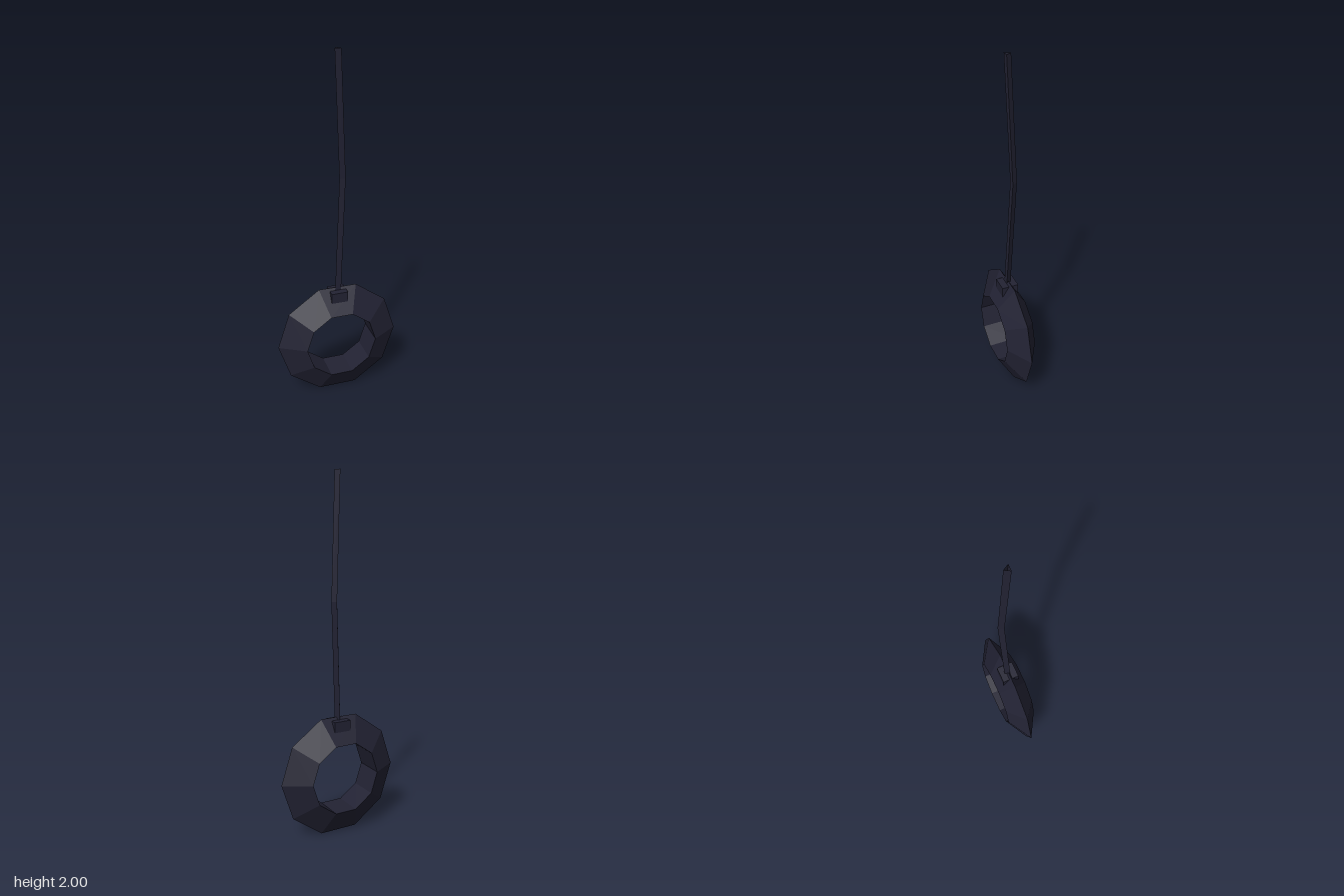
import * as THREE from 'three';

export function createModel() {
  const group = new THREE.Group();
  const darkRubber = new THREE.MeshStandardMaterial({
    color: 0x222233, flatShading: true, side: THREE.DoubleSide,
  });

  const add = (name, geometry, y) => {
    const mesh = new THREE.Mesh(geometry, darkRubber);
    mesh.name = name;
    mesh.position.y = y;
    group.add(mesh);
  };

  // Tyre: ten-sided ring with a triangular section, ridge outwards
  const tyreY = 0.355 * Math.cos(Math.PI / 10);
  add('tyre', new THREE.TorusGeometry(0.255, 0.1, 3, 10), tyreY);

  // Block clamping the rope to the tyre
  add('ropeClamp', new THREE.BoxGeometry(0.096, 0.06, 0.096), 0.63);

  // Rope: three-sided, open at the ends, bent once in the middle
  const bottom = 0.64;
  const length = 2 - bottom;
  const rope = new THREE.CylinderGeometry(0.02, 0.02, length, 3, 2, true, Math.PI);
  const p = rope.attributes.position;
  for (let i = 0; i < p.count; i++) {
    const bend = 1 - Math.abs(p.getY(i)) / (length / 2);
    p.setX(i, p.getX(i) + 0.032 * bend);
    p.setZ(i, p.getZ(i) - 0.021 * bend);
  }
  rope.computeVertexNormals();
  add('rope', rope, bottom + length / 2);

  return group;
}
